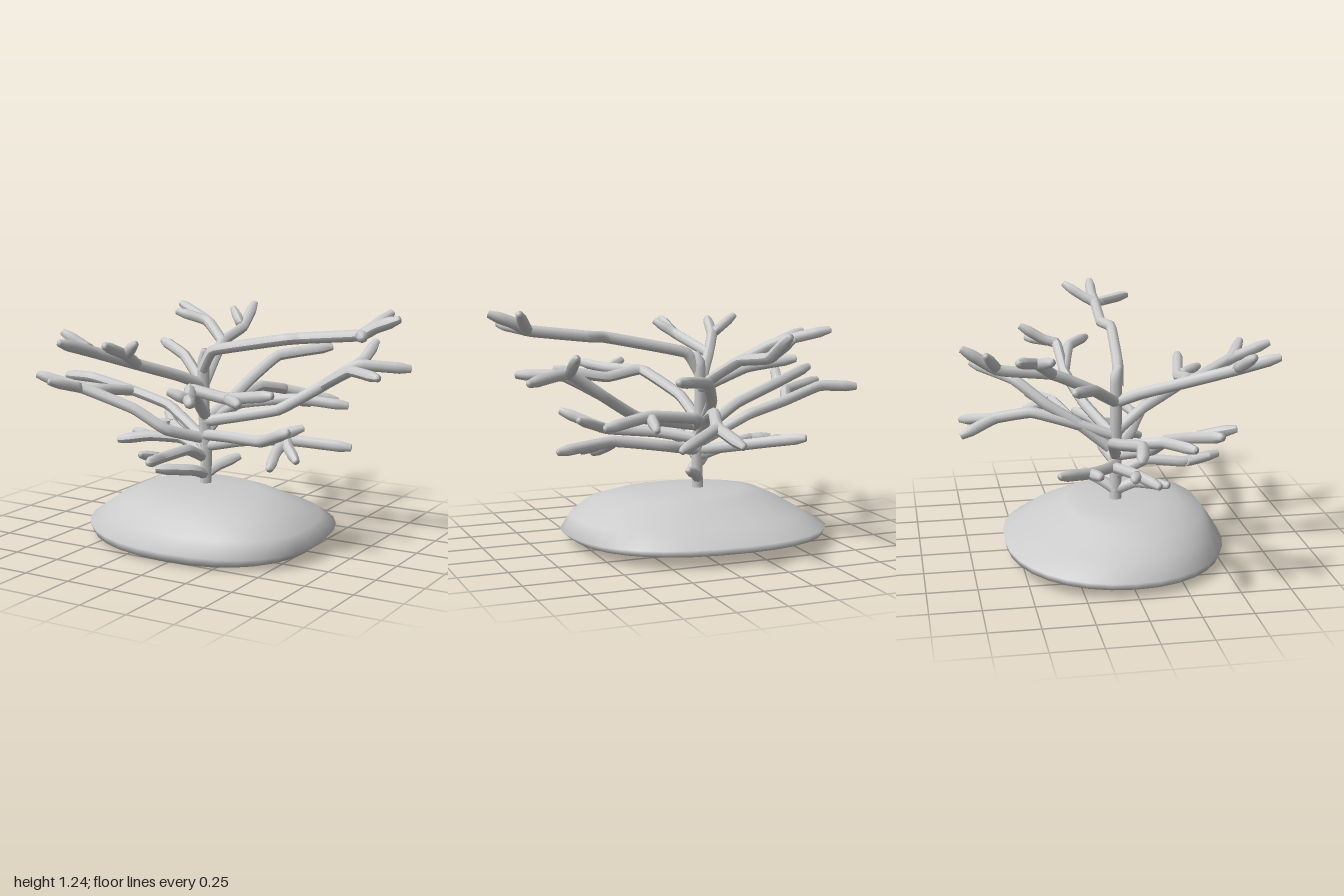
import * as THREE from 'three';
import { mergeVertices } from 'three/addons/utils/BufferGeometryUtils.js';

const material = new THREE.MeshStandardMaterial({ color: 0xcccccc });

// Round limb swept along a few points, closing to a blunt tip
function limb(name, points, radius) {
  const path = new THREE.CatmullRomCurve3(points.map(p => new THREE.Vector3(...p)), false, 'catmullrom', 0.15);
  const steps = Math.max(5, Math.round(path.getLength() / 0.03)), sides = 8;
  const geometry = new THREE.TubeGeometry(path, steps, radius, sides);
  const pos = geometry.attributes.position, v = new THREE.Vector3();
  for (let i = steps - 1; i <= steps; i++) {
    const tip = i === steps;
    const from = path.getPointAt(i / steps), to = path.getPointAt(tip ? 1 : (i + 0.85) / steps);
    for (let j = 0; j <= sides; j++) {
      const k = i * (sides + 1) + j;
      v.fromBufferAttribute(pos, k).sub(from).multiplyScalar(tip ? 0.02 : 0.65).add(to);
      pos.setXYZ(k, v.x, v.y, v.z);
    }
  }
  geometry.computeVertexNormals();
  const mesh = new THREE.Mesh(geometry, material);
  mesh.name = name;
  return mesh;
}

// Rock from stacked rings: [y, xMin, xMax, zMin, zMax]
function makeRock() {
  const rings = [
    [0, -0.1, -0.1, 0, 0],
    [0, -0.66, 0.5, -0.5, 0.51],
    [0.018, -0.72, 0.56, -0.57, 0.545],
    [0.06, -0.74, 0.605, -0.58, 0.56],
    [0.14, -0.63, 0.55, -0.45, 0.51],
    [0.21, -0.53, 0.44, -0.32, 0.46],
    [0.255, -0.44, 0.32, -0.25, 0.34],
    [0.28, -0.33, 0.18, -0.2, 0.22],
    [0.287, -0.08, -0.08, 0, 0],
  ];
  const n = 32, vertices = [], index = [];
  const soft = (t, power) => Math.sign(t) * Math.abs(t) ** power;
  rings.forEach(([y, x0, x1, z0, z1], r) => {
    for (let i = 0; i < n; i++) {
      const a = (i / n) * Math.PI * 2;
      // squarer on the +x half, sheared so the front bulges toward +x
      const power = Math.cos(a) > 0 ? 0.82 : 0.95;
      const z = (z0 + z1) / 2 + soft(Math.sin(a), power) * (z1 - z0) / 2;
      const x = (x0 + x1) / 2 + soft(Math.cos(a), power) * (x1 - x0) / 2 + z * 0.09;
      // underside rises toward the back
      vertices.push(x, y + (0.54 - z) * 0.045 * Math.max(0, 1 - y / 0.28), z);
      if (r) {
        const a0 = (r - 1) * n + i, a1 = (r - 1) * n + (i + 1) % n;
        index.push(a0, a0 + n, a1, a1, a0 + n, a1 + n);
      }
    }
  });
  let geometry = new THREE.BufferGeometry();
  geometry.setAttribute('position', new THREE.Float32BufferAttribute(vertices, 3));
  geometry.setIndex(index);
  geometry = mergeVertices(geometry, 1e-4);
  geometry.computeVertexNormals();
  const mesh = new THREE.Mesh(geometry, material);
  mesh.name = 'rock';
  return mesh;
}

// Each branch: a stem from the trunk, then forks starting at a stem point index
const branches = {
  topRightBranch: {
    stem: [[-0.1, 0.88, 0.01], [-0.03, 0.99, 0.02], [0.39, 1.08, 0.06], [0.48, 1.09, 0.02], [0.8, 1.13, 0.04], [0.87, 1.17, 0.03], [1, 1.22, 0.04]],
    forks: [[4, [0.83, 1.16, -0.02], [0.89, 1.23, -0.13]], [4, [0.9, 1.15, 0.24]]],
  },
  rightBackBranch: {
    stem: [[-0.09, 0.61, 0], [0.28, 0.69, -0.1], [0.49, 0.82, -0.18], [0.67, 0.94, -0.2], [0.91, 0.92, -0.34]],
    forks: [[3, [0.68, 0.96, -0.27], [0.69, 1.04, -0.4]], [2, [0.67, 0.92, -0.13], [0.88, 0.92, 0]]],
  },
  backBranch: {
    stem: [[-0.09, 0.56, -0.03], [-0.06, 0.68, -0.18], [-0.02, 0.78, -0.34], [0.07, 0.9, -0.5], [0.3, 0.94, -0.7]],
    forks: [],
  },
  lowBackBranch: {
    stem: [[-0.09, 0.62, 0], [-0.05, 0.7, -0.25], [0, 0.74, -0.42], [0.06, 0.7, -0.6], [0, 0.63, -0.78]],
    forks: [[3, [0.17, 0.67, -0.67], [0.31, 0.63, -0.76]]],
  },
  backRightTwig: {
    stem: [[-0.09, 0.6, 0], [0.0, 0.68, -0.2], [0.28, 0.72, -0.28], [0.55, 0.69, -0.38]],
    forks: [[2, [0.3, 0.67, -0.43]]],
  },
  backLeftBranch: {
    stem: [[-0.1, 0.8, 0], [-0.13, 0.88, -0.13], [-0.18, 0.98, -0.33], [-0.21, 1.02, -0.6], [-0.23, 1.14, -0.78]],
    forks: [[3, [-0.31, 1.12, -0.67]], [2, [-0.32, 1.07, -0.42], [-0.57, 1.14, -0.54]], [2, [-0.33, 1.07, -0.42], [-0.5, 1.12, -0.37]]],
  },
  upperLeftTwig: {
    stem: [[-0.1, 0.8, 0], [-0.3, 0.92, -0.14], [-0.52, 0.97, -0.27]],
    forks: [],
  },
  frontLeftBranch: {
    stem: [[-0.1, 0.8, 0], [-0.17, 0.86, 0.12], [-0.29, 0.94, 0.33], [-0.4, 1.02, 0.54], [-0.46, 1.09, 0.75]],
    forks: [[3, [-0.56, 1.12, 0.59]], [2, [-0.19, 1.03, 0.58], [-0.18, 1.1, 0.77]], [2, [-0.19, 1.03, 0.57], [-0.09, 1.1, 0.64]]],
  },
  frontRightBranch: {
    stem: [[-0.09, 0.64, 0], [-0.05, 0.75, 0.15], [0.07, 0.86, 0.41], [0.27, 0.83, 0.4], [0.55, 0.88, 0.46]],
    forks: [[3, [0.42, 0.84, 0.55]], [2, [0.19, 0.85, 0.62], [0.3, 0.87, 0.78]], [2, [0.18, 0.85, 0.6], [0.09, 0.89, 0.65]]],
  },
  rightFrontTwig: {
    stem: [[-0.09, 0.54, 0], [0.1, 0.57, 0.11], [0.35, 0.59, 0.2], [0.56, 0.68, 0.32]],
    forks: [[2, [0.53, 0.66, 0.09]]],
  },
  lowRightBranch: {
    stem: [[-0.09, 0.48, 0], [0.1, 0.52, -0.04], [0.38, 0.56, -0.02], [0.7, 0.54, -0.1]],
    forks: [[2, [0.37, 0.52, 0.08], [0.41, 0.46, 0.23]], [2, [0.42, 0.54, 0.05], [0.51, 0.49, 0.13]]],
  },
  leftBranch: {
    stem: [[-0.1, 0.52, 0], [-0.35, 0.66, -0.06], [-0.57, 0.72, -0.05], [-0.8, 0.78, 0], [-1, 0.77, -0.04]],
    forks: [[2, [-0.66, 0.75, 0.13], [-0.9, 0.78, 0.23]]],
  },
  leftFrontBranch: {
    stem: [[-0.1, 0.52, 0], [-0.23, 0.58, 0.16], [-0.4, 0.68, 0.2], [-0.67, 0.77, 0.26], [-0.91, 0.84, 0.35]],
    forks: [[3, [-0.75, 0.83, 0.46]]],
  },
  lowLeftBackTwig: {
    stem: [[-0.1, 0.48, 0], [-0.25, 0.5, -0.07], [-0.4, 0.53, -0.18], [-0.54, 0.57, -0.35]],
    forks: [[2, [-0.5, 0.54, -0.14]]],
  },
  lowLeftFrontTwig: {
    stem: [[-0.1, 0.45, 0], [-0.25, 0.5, -0.02], [-0.4, 0.51, 0.05], [-0.55, 0.49, 0.14]],
    forks: [[2, [-0.52, 0.52, 0.02]]],
  },
  lowFrontTwig: {
    stem: [[-0.1, 0.42, 0], [-0.1, 0.49, 0.16], [-0.14, 0.48, 0.35], [-0.09, 0.5, 0.54]],
    forks: [[2, [-0.18, 0.52, 0.48]]],
  },
  lowestSprout: {
    stem: [[-0.09, 0.33, 0], [-0.1, 0.37, 0.1], [-0.24, 0.39, 0.25]],
    forks: [[0, [-0.05, 0.37, -0.06], [0.03, 0.41, -0.16]]],
  },
};

export function createModel() {
  const model = new THREE.Group();
  model.name = 'branchingPlantOnRock';
  model.add(makeRock());

  // Trunk rooted in the rock
  model.add(limb('trunk', [[-0.09, 0.2, 0], [-0.085, 0.45, 0], [-0.1, 0.7, 0], [-0.1, 0.93, 0], [-0.08, 0.99, 0.02]], 0.031));

  // Branches with forked tips
  for (const [name, { stem, forks }] of Object.entries(branches)) {
    const group = new THREE.Group();
    group.name = name;
    group.add(limb('stem', stem, 0.029));
    for (const [start, ...rest] of forks) group.add(limb('fork', [stem[start], ...rest], 0.028));
    model.add(group);
  }
  return model;
}
